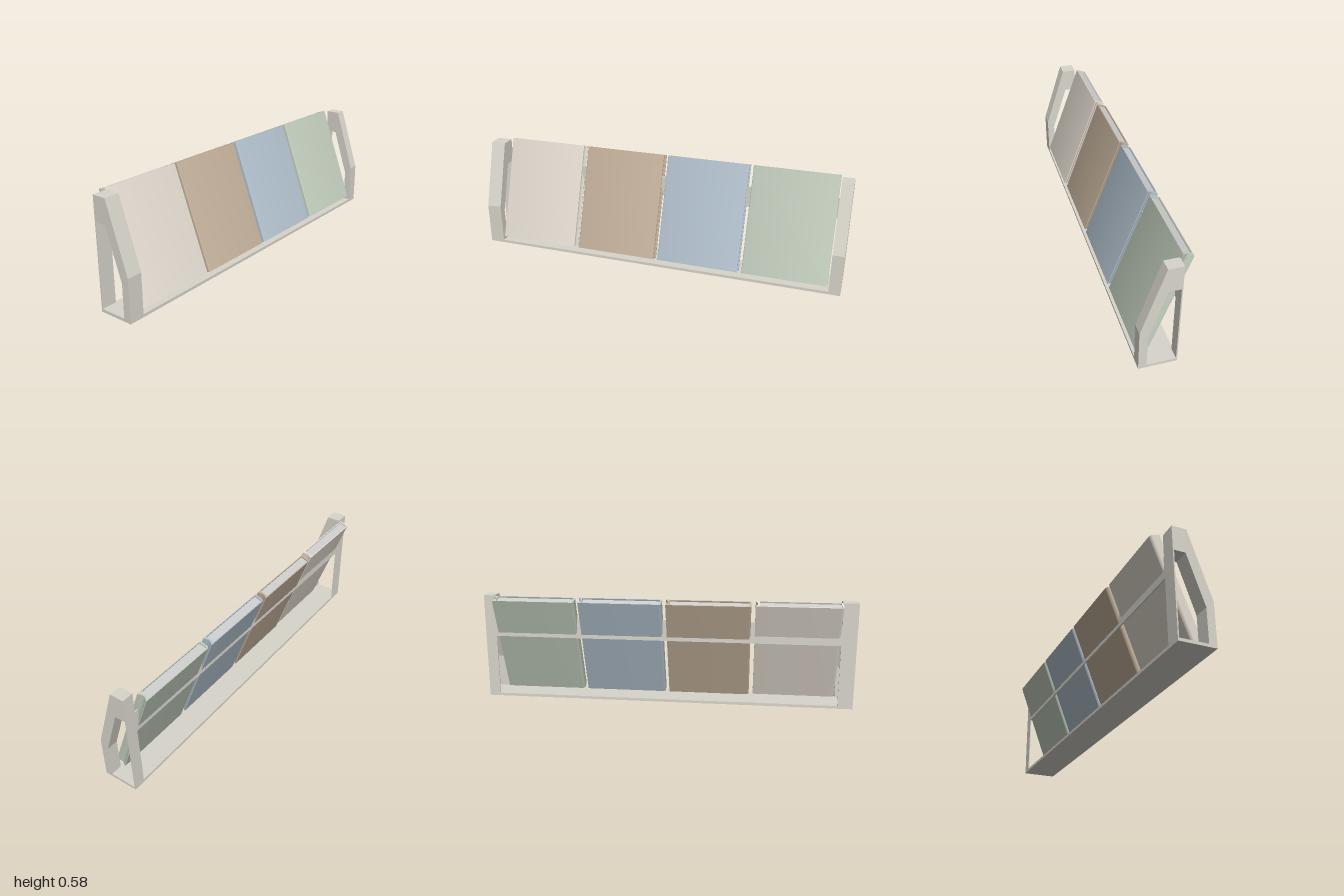
import * as THREE from 'three';
import { toCreasedNormals } from 'three/addons/utils/BufferGeometryUtils.js';

const stand = new THREE.MeshStandardMaterial({ color: 0xd8d5cb });
const grey = new THREE.MeshStandardMaterial({ color: 0xcccccc });
const pts = (list) => list.map(([x, y]) => new THREE.Vector2(x, y));

function addBox(parent, name, x0, x1, y0, y1, z0, z1, material) {
  const mesh = new THREE.Mesh(new THREE.BoxGeometry(x1 - x0, y1 - y0, z1 - z0), material);
  mesh.position.set((x0 + x1) / 2, (y0 + y1) / 2, (z0 + z1) / 2);
  mesh.name = name;
  parent.add(mesh);
}

// Side frame: outline in (z, y) with a window, extruded across x
function sideFrame(name, x0, x1) {
  const shape = new THREE.Shape(pts([
    [-0.058, 0], [0.13, 0], [0.13, 0.225], [0.017, 0.572], [-0.058, 0.572],
  ]));
  shape.holes.push(new THREE.Path(pts([
    [-0.052, 0.015], [-0.052, 0.445], [0.005, 0.445], [0.09, 0.19], [0.09, 0.015],
  ])));
  const geometry = new THREE.ExtrudeGeometry(shape, { depth: x1 - x0, bevelEnabled: false });
  geometry.rotateY(-Math.PI / 2);
  const mesh = new THREE.Mesh(geometry, stand);
  mesh.position.x = x1;
  mesh.name = name;
  return mesh;
}

// Leaning book: wrapped cover with a rounded spine and hollowed fore edge
function book(name, color) {
  const width = 0.445, thick = 0.054, length = 0.572, wall = 0.005, r = 0.014;
  const group = new THREE.Group();
  group.name = name;

  const section = new THREE.Shape();
  section.moveTo(r, 0);
  section.lineTo(width, 0);
  section.lineTo(width, wall);
  section.quadraticCurveTo(width - 0.022, thick / 2, width, thick - wall);
  section.lineTo(width, thick);
  section.lineTo(r * 0.5, thick);
  section.quadraticCurveTo(0, thick, 0, thick - r * 0.5);
  section.lineTo(0, r);
  section.quadraticCurveTo(0, 0, r, 0);
  const x0 = 0.01, x1 = width - 0.02;
  section.holes.push(new THREE.Path(pts([
    [x0, wall], [x0, thick - wall], [x1, thick - wall], [x1, wall],
  ])));
  const geometry = new THREE.ExtrudeGeometry(section, {
    depth: length, bevelEnabled: false, curveSegments: 10,
  });
  const cover = new THREE.Mesh(
    toCreasedNormals(geometry, 0.6),
    new THREE.MeshStandardMaterial({ color }),
  );
  cover.name = 'cover';
  group.add(cover);

  // Page block sits slightly inside the cover at both ends
  addBox(group, 'pages', x0, x1, wall, thick - wall, 0.008, length - 0.008, grey);
  group.rotation.x = 1.217;
  return group;
}

export function createModel() {
  const model = new THREE.Group();
  model.name = 'bookRack';

  // Rack
  model.add(sideFrame('rightSideFrame', -1, -0.92), sideFrame('leftSideFrame', 0.94, 1));
  addBox(model, 'basePlate', -0.92, 0.94, 0, 0.015, -0.058, 0.13, stand);
  addBox(model, 'backRail', -0.92, 0.94, 0.345, 0.46, -0.058, -0.052, stand);

  // Row of books, the first resting a touch further forward
  [0xe3dbd0, 0xc2b09a, 0xb1c0cc, 0xc1ccbc].forEach((color, i) => {
    const b = book(`book${i + 1}`, color);
    b.position.set(-0.916 + 0.467 * i, i === 0 ? 0.558 : 0.555, i === 0 ? -0.122 : -0.128);
    model.add(b);
  });
  return model;
}
